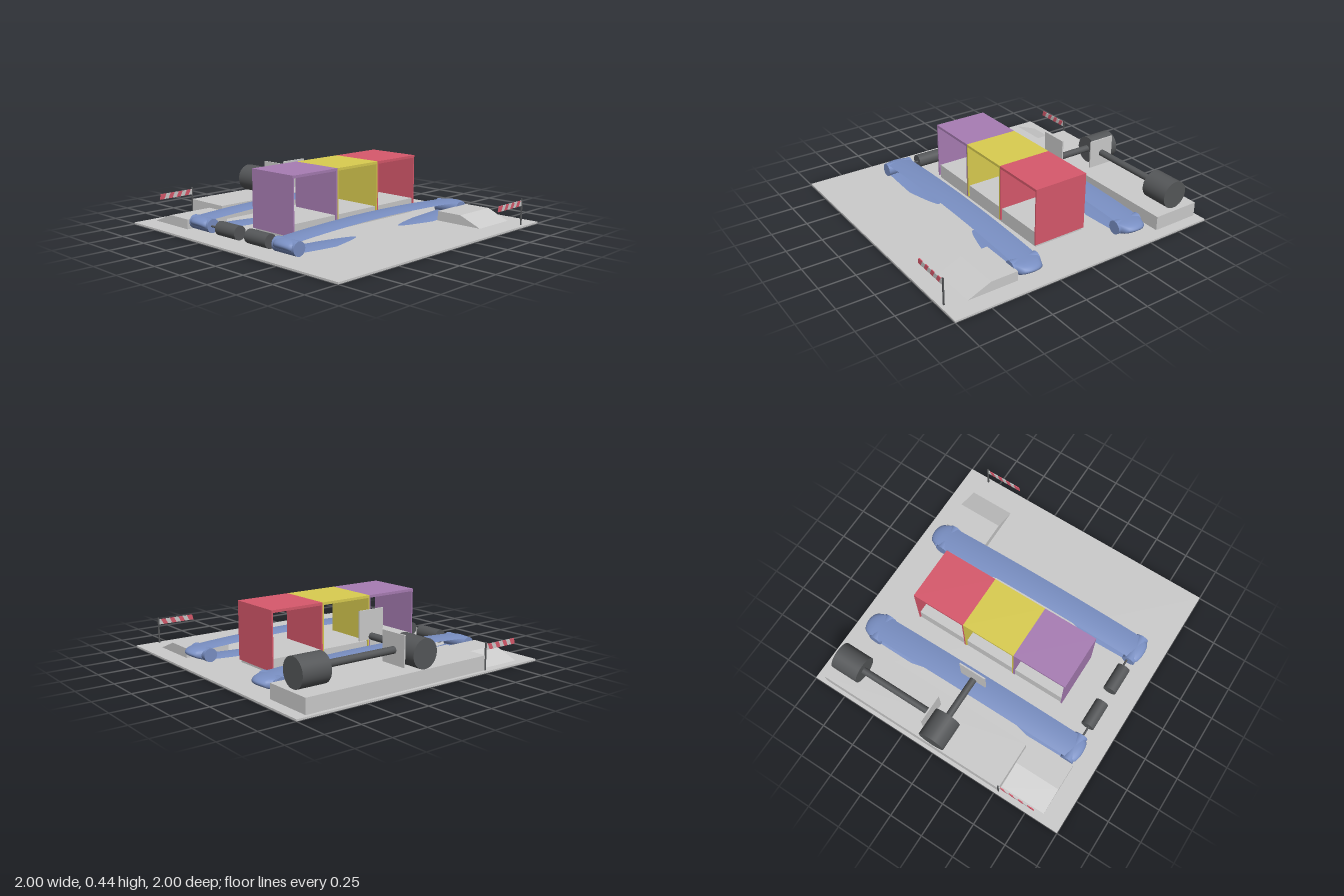
import * as THREE from 'three';

const mat = (color) => new THREE.MeshStandardMaterial({ color, side: THREE.DoubleSide });
const grey = mat(0xcccccc), dark = mat(0x555759), blue = mat(0x7a90c4);
const purple = mat(0xa87db4), yellow = mat(0xdacd50), red = mat(0xd8596c);

function add(parent, name, geometry, material, x = 0, y = 0, z = 0) {
  const mesh = new THREE.Mesh(geometry, material);
  mesh.name = name;
  mesh.position.set(x, y, z);
  parent.add(mesh);
  return mesh;
}

// Box given by its minimum and maximum on each axis
function box(parent, name, material, [x0, x1], [y0, y1], [z0, z1]) {
  return add(parent, name, new THREE.BoxGeometry(x1 - x0, y1 - y0, z1 - z0), material,
    (x0 + x1) / 2, (y0 + y1) / 2, (z0 + z1) / 2);
}

// Cylinder lying along x or z between two end values
function rod(parent, name, material, axis, r, from, to, x, y, z) {
  const g = new THREE.CylinderGeometry(r, r, to - from, 32);
  const mid = (from + to) / 2;
  if (axis === 'x') return add(parent, name, g.rotateZ(Math.PI / 2), material, mid, y, z);
  return add(parent, name, g.rotateX(Math.PI / 2), material, x, y, mid);
}

// Closed belt loop, bowed along its length and crowned across its width
function beltGeometry(width) {
  const path = [], n = 32, m = 12, across = 12, half = 0.81, mid = 0.01;
  for (let i = 0; i <= n; i++) {
    const u = -1 + (2 * i) / n;
    path.push([mid + u * half, 0.1 + 0.028 * (1 - u * u), 0]);
  }
  for (let i = 1; i < m; i++) {
    const a = Math.PI / 2 - (i * Math.PI) / m;
    path.push([mid + half + 0.04 * Math.cos(a), 0.065 + 0.035 * Math.sin(a), 0.06 * Math.cos(a)]);
  }
  for (let i = 0; i <= n; i++) {
    const u = 1 - (2 * i) / n;
    path.push([mid + u * half, 0.03 - 0.028 * (1 - u * u), 0]);
  }
  for (let i = 1; i < m; i++) {
    const a = -Math.PI / 2 - (i * Math.PI) / m;
    path.push([mid - half + 0.04 * Math.cos(a), 0.065 + 0.035 * Math.sin(a), 0.03 * Math.cos(a)]);
  }
  const pos = [], index = [], row = across + 1;
  path.forEach(([x, y, bulge], i) => {
    const next = (i + 1) % path.length;
    for (let j = 0; j <= across; j++) {
      const v = -1 + (2 * j) / across, crown = 1 - v * v;
      pos.push(x + bulge * Math.sqrt(crown), y + 0.008 * crown, (v * width) / 2);
      if (j === across) continue;
      const a = i * row + j, b = next * row + j;
      index.push(a, a + 1, b, a + 1, b + 1, b);
    }
  });
  const g = new THREE.BufferGeometry();
  g.setAttribute('position', new THREE.Float32BufferAttribute(pos, 3));
  g.setIndex(index);
  g.computeVertexNormals();
  return g;
}

// Conveyor with two end rollers, a drive motor and its shaft
function conveyor(parent, z, motorZ, shaftZ, shaftX) {
  const g = new THREE.Group();
  g.name = 'conveyor';
  parent.add(g);
  add(g, 'belt', beltGeometry(0.18), blue, 0, 0, z);
  for (const x of [-0.8, 0.795]) rod(g, 'roller', blue, 'z', 0.048, z - 0.1, z + 0.1, x, 0.06, 0);
  rod(g, 'beltMotor', dark, 'z', 0.048, ...motorZ, -0.8, 0.06, 0);
  rod(g, 'motorShaft', dark, 'z', 0.007, ...shaftZ, shaftX, 0.06, 0);
}

// Ramp with a flat top and one sloped end
function ramp(parent, xMax, width, zFlat, zEdge, zFoot) {
  const s = new THREE.Shape([[zFlat, 0.01], [zFoot, 0.01], [zEdge, 0.08], [zFlat, 0.08]]
    .map(([a, b]) => new THREE.Vector2(a, b)));
  const g = new THREE.ExtrudeGeometry(s, { depth: width, bevelEnabled: false });
  add(parent, 'ramp', g.rotateY(-Math.PI / 2), grey, xMax, 0, 0);
}

// Barrier: post and a board of slanted stripes
function barrier(parent, x0, postX, z) {
  const g = new THREE.Group();
  g.name = 'barrier';
  parent.add(g);
  box(g, 'barrierPost', dark, [postX - 0.005, postX + 0.005], [0.01, 0.2], [z - 0.004, z + 0.004]);
  const count = 8, len = 0.28, step = len / count, slant = 0.02, y0 = 0.148, y1 = 0.186;
  for (let i = 0; i < count; i++) {
    const a = i * step, b = a + step, first = i === 0, last = i === count - 1;
    const s = new THREE.Shape([
      [a, y0], [last ? len : b, y0], [last ? len : b + slant, y1], [first ? 0.01 : a + slant, y1],
    ].map(([p, q]) => new THREE.Vector2(p, q)));
    add(g, 'barrierStripe', new THREE.ExtrudeGeometry(s, { depth: 0.006, bevelEnabled: false }),
      i % 2 ? grey : red, x0, 0, z - 0.003);
  }
}

export function createModel() {
  const model = new THREE.Group();
  model.name = 'sortingStation';

  box(model, 'basePlate', grey, [-1, 1], [0, 0.012], [-1, 1]);

  // Conveyors along both long sides
  conveyor(model, 0.38, [0.02, 0.22], [0.22, 0.29], -0.79);
  conveyor(model, -0.46, [-0.28, -0.08], [-0.37, -0.28], -0.81);

  // Three open bays over a plinth
  box(model, 'bayPlinth', grey, [-0.55, 0.63], [0.012, 0.115], [-0.22, 0.16]);
  [purple, yellow, red].forEach((m, i) => {
    const x0 = -0.565 + i * 0.4015, x1 = x0 + 0.4015, z = [-0.23, 0.17], t = 0.01;
    const bay = new THREE.Group();
    bay.name = 'bay';
    model.add(bay);
    box(bay, 'bayRoof', m, [x0, x1], [0.417, 0.435], z);
    box(bay, 'bayWall', m, [x0, x0 + t], [0.03, 0.417], z);
    box(bay, 'bayWall', m, [x1 - t, x1], [0.03, 0.417], z);
  });

  // Raised platform with two pushers
  box(model, 'platform', grey, [-0.52, 0.92], [0.012, 0.112], [-0.975, -0.625]);
  rod(model, 'sidePusherMotor', dark, 'x', 0.098, 0.68, 0.885, 0, 0.208, -0.805);
  rod(model, 'sidePusherRod', dark, 'x', 0.024, 0.13, 0.69, 0, 0.22, -0.81);
  box(model, 'sidePusherPaddle', grey, [0.12, 0.13], [0.125, 0.33], [-0.905, -0.705]);
  rod(model, 'frontPusherMotor', dark, 'z', 0.098, -0.97, -0.77, 0.015, 0.21, 0);
  rod(model, 'frontPusherRod', dark, 'z', 0.024, -0.78, -0.455, 0.012, 0.22, 0);
  box(model, 'frontPusherPaddle', grey, [-0.085, 0.115], [0.2, 0.4], [-0.46, -0.45]);

  // Ramps and barriers at opposite corners
  ramp(model, 0.875, 0.335, 0.475, 0.67, 0.84);
  ramp(model, -0.525, 0.335, -0.565, -0.76, -0.945);
  barrier(model, 0.545, 0.83, 0.972);
  barrier(model, -0.8, -0.52, -0.975);

  return model;
}
